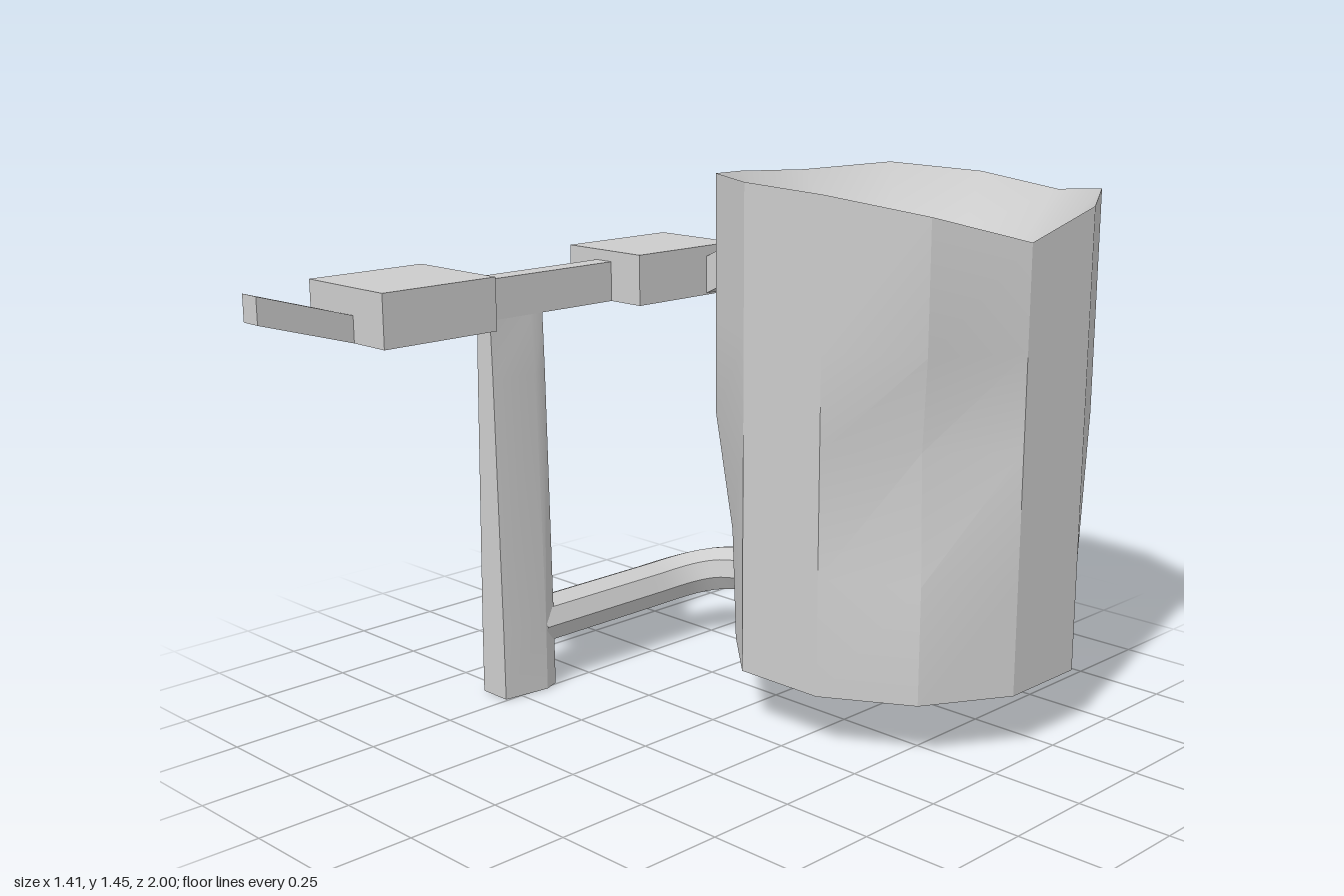
import * as THREE from 'three';
import { toCreasedNormals } from 'three/addons/utils/BufferGeometryUtils.js';

const HX = -0.555; // x of the handle's centre line
const material = new THREE.MeshStandardMaterial({ color: 0xcccccc, side: THREE.DoubleSide });

function addMesh(group, name, geometry, crease = 0.5) {
  const mesh = new THREE.Mesh(toCreasedNormals(geometry, crease), material);
  mesh.name = name;
  group.add(mesh);
}

// Skin over rings of [x, y, z] points, ordered from +x towards +z; closed ends collapse to their centres
function loft(rings, closeStart = true, closeEnd = true) {
  const n = rings[0].length;
  const collapse = (ring) => {
    const c = [0, 1, 2].map((k) => ring.reduce((s, p) => s + p[k], 0) / n);
    return ring.map(() => c);
  };
  const all = [...rings];
  if (closeStart) all.unshift(collapse(rings[0]));
  if (closeEnd) all.push(collapse(rings[rings.length - 1]));
  const index = [];
  for (let r = 0; r < all.length - 1; r++) {
    for (let i = 0; i < n; i++) {
      const j = (i + 1) % n;
      const a = r * n + i, b = r * n + j, c = a + n, d = b + n;
      if (!closeStart || r > 0) index.push(a, c, b);
      if (!closeEnd || r < all.length - 2) index.push(b, c, d);
    }
  }
  const geometry = new THREE.BufferGeometry();
  geometry.setAttribute('position', new THREE.Float32BufferAttribute(all.flat(2), 3));
  geometry.setIndex(index);
  return geometry;
}

// Box from its limits; the end chosen by `raised` is shifted up by `rise`
function addBox(group, name, x0, x1, y0, y1, z0, z1, rise = 0, raised = () => false) {
  const geometry = new THREE.BoxGeometry(x1 - x0, y1 - y0, z1 - z0);
  geometry.translate((x0 + x1) / 2, (y0 + y1) / 2, (z0 + z1) / 2);
  const p = geometry.attributes.position;
  for (let i = 0; i < p.count; i++) {
    if (raised(p.getX(i), p.getZ(i))) p.setY(i, p.getY(i) + rise);
  }
  addMesh(group, name, geometry);
}

// Twelve-sided vessel with an uneven rim, dented walls and a hollow top
function addTank(group) {
  const rim = [1.32, 1.39, 1.435, 1.445, 1.44, 1.42, 1.405, 1.42, 1.4, 1.37, 1.4, 1.385];
  const dents = [
    { y: 0.155, 4: 0.89, 10: 0.95 },
    { y: 0.47, 4: 0.91, 8: 0.95, 9: 0.94, 10: 0.92 },
    { y: 0.8, 1: 0.88 },
    { y: 1.05 },
  ];
  const ring = (height, scale) => rim.map((_, i) => {
    const a = (15 + 30 * i) * Math.PI / 180;
    const r = 0.505 * scale(i);
    return [0.213 + r * Math.cos(a), height(i, Math.sin(a)), -0.515 + r * Math.sin(a)];
  });
  const top = ring((i) => rim[i], () => 1);
  addMesh(group, 'tankWall', loft([
    ...dents.map((d) => ring(() => d.y, (i) => d[i] ?? 1)), top,
  ], true, false));
  // The hollow falls gently at the front and steeply at the back
  addMesh(group, 'tankHollow', loft([
    top,
    ring((i, s) => (rim[i] + 1.4) / 2 - 0.11 + 0.05 * s, () => 0.75),
    ring((i, s) => 1.26 + 0.04 * s, () => 0.4),
    ring((i, s) => 1.24 + 0.01 * s, () => 0.12),
  ], false, true), 1.2);
}

// Tapering six-sided upright
function postGeometry() {
  const levels = [[0, 0.048, 0.066], [0.2, 0.046, 0.066], [0.9, 0.032, 0.045], [1.06, 0.027, 0.03]];
  return loft(levels.map(([y, f, s]) => [
    [HX + s, y, 0.165], [HX + f, y, 0.3], [HX - f, y, 0.3],
    [HX - s, y, 0.165], [HX - f, y, 0.12], [HX + f, y, 0.12],
  ]));
}

// Faceted pipe that runs back from the post and bends to the vessel
function pipeGeometry() {
  const v = (x, y, z) => new THREE.Vector3(x, y, z);
  const path = new THREE.CurvePath();
  path.add(new THREE.LineCurve3(v(HX, 0.18, 0.16), v(HX, 0.18, -0.3)));
  path.add(new THREE.CubicBezierCurve3(
    v(HX, 0.18, -0.3), v(HX, 0.183, -0.45), v(-0.48, 0.217, -0.535), v(-0.34, 0.217, -0.535)));
  path.add(new THREE.LineCurve3(v(-0.34, 0.217, -0.535), v(-0.262, 0.217, -0.535)));
  return new THREE.TubeGeometry(path, 24, 0.068, 8, false);
}

export function createModel() {
  const group = new THREE.Group();
  group.name = 'vesselWithHandle';

  addTank(group);
  addMesh(group, 'post', postGeometry());
  addMesh(group, 'lowerPipe', pipeGeometry());

  // Top bar with its two blocks
  addBox(group, 'topBar', HX - 0.03, HX + 0.03, 1.06, 1.17, -0.14, 0.39);
  addBox(group, 'frontBlock', -0.71, -0.4, 1.06, 1.2, 0.38, 0.73);
  addBox(group, 'rearBlock', -0.695, -0.41, 1.06, 1.2, -0.495, -0.13);

  // Upturned front lever, and the slanting arm from the rear block to the vessel
  addBox(group, 'frontLever', HX - 0.03, HX + 0.03, 1.06, 1.13, 0.73, 1, 0.08, (x, z) => z > 0.9);
  addBox(group, 'rearArm', -0.42, -0.265, 1.06, 1.165, -0.47, -0.39, 0.075, (x) => x > -0.3);

  return group;
}
